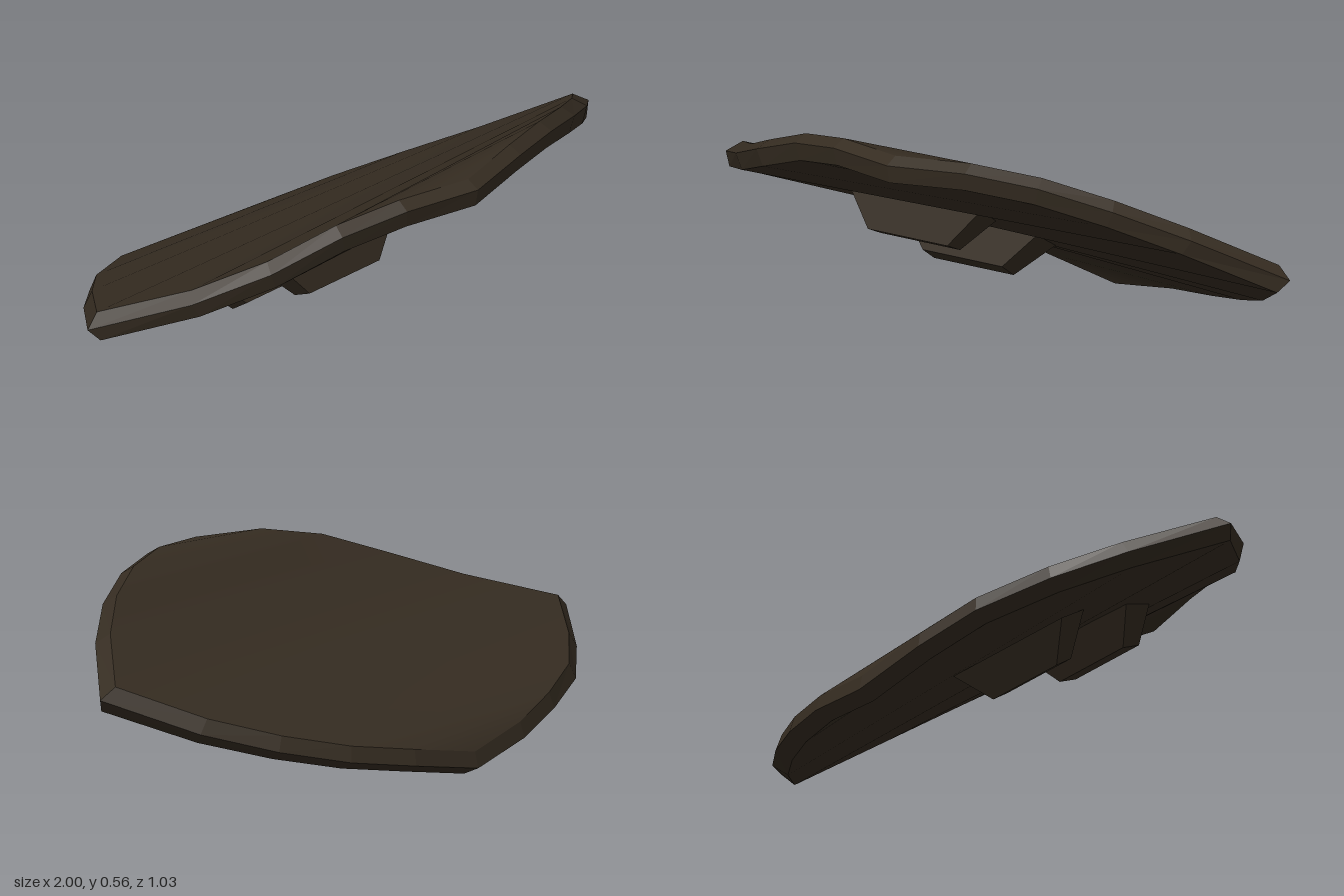
import * as THREE from 'three';
import { mergeVertices } from 'three/addons/utils/BufferGeometryUtils.js';

// Rim of the board as [x, y, z], anticlockwise seen from above, starting at the front tip
const RIM = [
  [0, 0.54, 0.515], [0.23, 0.545, 0.46], [0.43, 0.522, 0.39], [0.62, 0.47, 0.3], [0.8, 0.395, 0.18],
  [1, 0.28, 0],
  [0.8, 0.18, -0.19], [0.62, 0.122, -0.32], [0.43, 0.08, -0.42], [0.23, 0.053, -0.485],
  [0, 0.022, -0.515],
  [-0.23, 0.075, -0.49], [-0.42, 0.128, -0.44], [-0.63, 0.175, -0.345], [-0.8, 0.23, -0.21],
  [-1, 0.3, -0.01],
  [-0.8, 0.37, 0.19], [-0.62, 0.44, 0.32], [-0.42, 0.508, 0.4], [-0.23, 0.54, 0.465],
];

// Geometry from a list of quads, flat shaded unless smooth
function fromQuads(quads, smooth = false) {
  const pos = [];
  for (const [a, b, c, d] of quads) pos.push(...a, ...b, ...c, ...a, ...c, ...d);
  let g = new THREE.BufferGeometry();
  g.setAttribute('position', new THREE.Float32BufferAttribute(pos, 3));
  if (smooth) g = mergeVertices(g);
  g.computeVertexNormals();
  return g;
}

// Copy of the rim, drawn inwards (by tipInset at the side tips) and shifted along the board's normal
function offsetRing(inset, tipInset, dy, dz) {
  return RIM.map(([x, y, z]) => {
    const r = Math.hypot(x, z * 2);
    const d = THREE.MathUtils.lerp(inset, tipInset, x ** 4);
    const ix = (x / r) * d, iz = ((z * 2) / r) * d;
    return [x - ix, y + dy - iz * 0.5, z + dz - iz];
  });
}

// Wall of quads between two rings
function wall(low, high) {
  const n = low.length;
  return low.map((p, i) => [p, low[(i + 1) % n], high[(i + 1) % n], high[i]]);
}

// Strips across a ring from side to side
function cap(ring, up) {
  const n = ring.length, quads = [];
  for (let k = 0; k < n / 2; k++) {
    const q = [ring[k + 1], ring[n - k - 1], ring[(n - k) % n], ring[k]];
    quads.push(up ? q : q.reverse());
  }
  return quads;
}

// Tapered bracket: side profile [z, y] of front top, front bottom, back bottom, back top
function bracketGeometry([ft, fb, bb, bt]) {
  const cx = -0.19, wide = 0.24, narrow = 0.14;
  const ring = (f, b, w) => [
    [cx - w, f[1], f[0]], [cx + w, f[1], f[0]], [cx + w, b[1], b[0]], [cx - w, b[1], b[0]],
  ];
  const top = ring(ft, bt, wide), bottom = ring(fb, bb, narrow);
  return fromQuads([...wall(bottom, top), top, [...bottom].reverse()]);
}

export function createModel() {
  const group = new THREE.Group();
  const brown = new THREE.MeshStandardMaterial({ color: 0x352c21 });
  brown.name = 'dark brown';
  const add = (name, geometry) => {
    const mesh = new THREE.Mesh(geometry, brown);
    mesh.name = name;
    group.add(mesh);
  };

  // Board: upper face, bevelled rim and underside
  const top = offsetRing(0.024, 0.05, 0.033, -0.013);
  const bottom = offsetRing(0.03, 0.03, -0.035, 0.02);
  add('upperFace', fromQuads(cap(top, true), true));
  add('rim', fromQuads([...wall(bottom, RIM), ...wall(RIM, top)]));
  add('underside', fromQuads(cap(bottom, false), true));

  // Two brackets under the board
  add('frontBracket', bracketGeometry([[0.163, 0.353], [0.195, 0.238], [0.14, 0.215], [0.075, 0.318]]));
  add('backBracket', bracketGeometry([[-0.074, 0.232], [-0.04, 0.13], [-0.09, 0.096], [-0.15, 0.185]]));

  return group;
}
